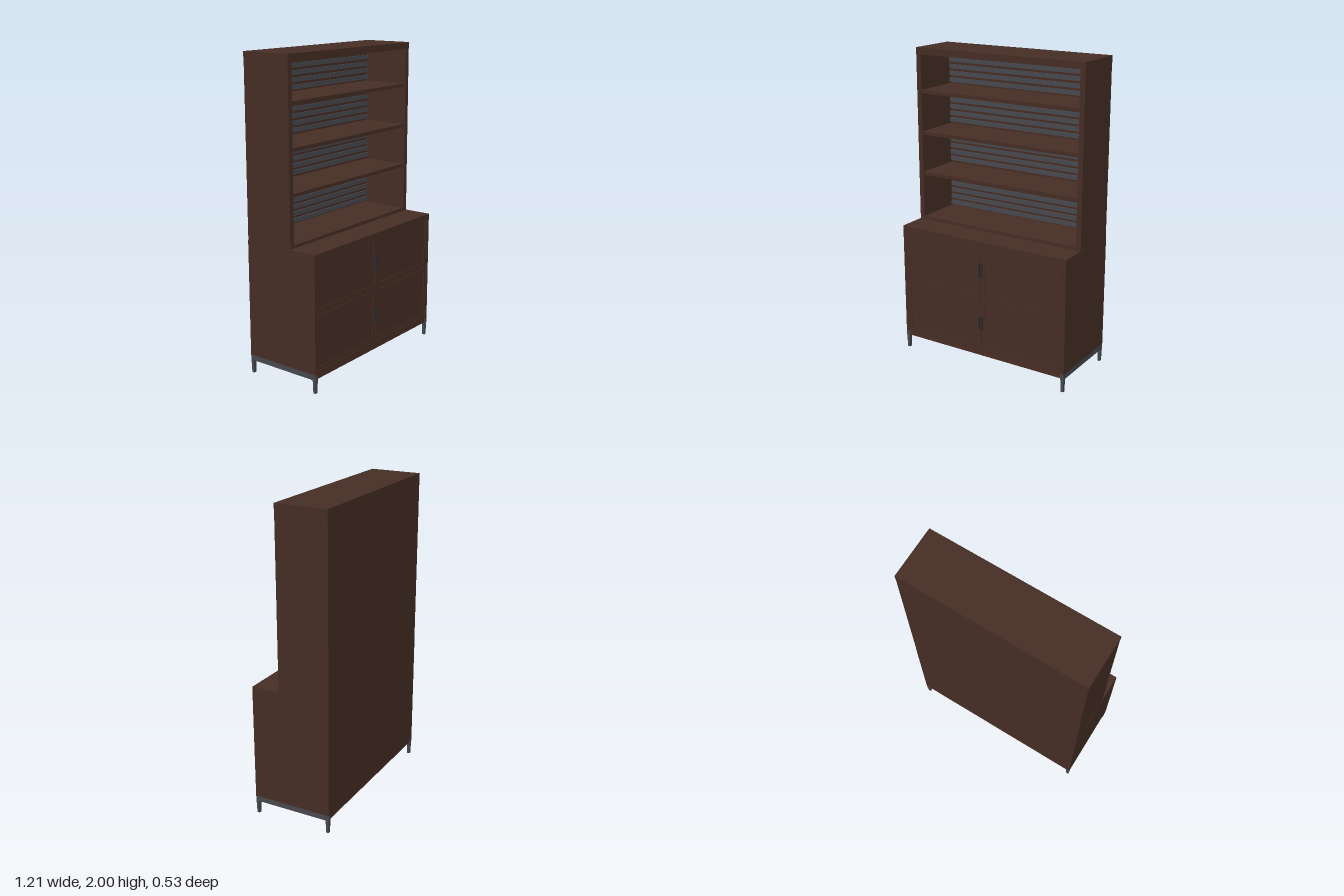
import * as THREE from 'three';

export function createModel() {
  const wood = new THREE.MeshStandardMaterial({ color: 0x452d24 });
  wood.name = 'dark walnut';
  const apronWood = new THREE.MeshStandardMaterial({ color: 0x4a2d24 });
  apronWood.name = 'reddish walnut';
  const steel = new THREE.MeshStandardMaterial({ color: 0x47484d });
  steel.name = 'grey steel';
  const dark = new THREE.MeshStandardMaterial({ color: 0x2b2b2e });
  dark.name = 'dark handle metal';

  const model = new THREE.Group();
  model.name = 'hutchCabinet';

  // Box given by its lower and upper limits on each axis
  function box(name, mat, x0, x1, y0, y1, z0, z1, parent = model) {
    const mesh = new THREE.Mesh(new THREE.BoxGeometry(x1 - x0, y1 - y0, z1 - z0), mat);
    mesh.position.set((x0 + x1) / 2, (y0 + y1) / 2, (z0 + z1) / 2);
    mesh.name = name;
    parent.add(mesh);
    return mesh;
  }

  const W = 0.605, B = -0.263, F = 0.26;

  // Lower cabinet: carcass open at the front, with a top board
  box('cabinetBack', wood, -0.585, 0.585, 0.12, 0.843, B, B + 0.02);
  box('cabinetFloor', wood, -0.585, 0.585, 0.12, 0.14, B + 0.02, F);
  box('cabinetDivider', wood, -0.585, 0.585, 0.485, 0.51, B + 0.02, F - 0.006);
  box('cabinetTop', wood, -W, W, 0.843, 0.865, B, F);
  box('apron', apronWood, -0.592, 0.592, 0.09, 0.12, B + 0.004, F - 0.004);

  // Framed doors with a slightly sunken panel
  function door(name, x0, x1, y0, y1) {
    const g = new THREE.Group();
    g.name = name;
    const s = new THREE.Shape();
    s.moveTo(x0, y0).lineTo(x1, y0).lineTo(x1, y1).lineTo(x0, y1).closePath();
    const h = new THREE.Path(), t = 0.023;
    h.moveTo(x0 + t, y0 + t).lineTo(x0 + t, y1 - t).lineTo(x1 - t, y1 - t).lineTo(x1 - t, y0 + t).closePath();
    s.holes.push(h);
    const frame = new THREE.Mesh(new THREE.ExtrudeGeometry(s, { depth: 0.02, bevelEnabled: false }), wood);
    frame.position.z = F - 0.022;
    frame.name = 'doorFrame';
    g.add(frame);
    box('doorPanel', wood, x0 + t, x1 - t, y0 + t, y1 - t, F - 0.02, F - 0.006, g);
    model.add(g);
  }

  const rows = [['lower', 0.142, 0.487, 0.27, 0.365], ['upper', 0.507, 0.842, 0.63, 0.725]];
  for (const side of [-1, 1]) {
    const label = side > 0 ? 'Left' : 'Right';
    const mirrorBox = (name, mat, a, b, ...rest) =>
      box(name + label, mat, Math.min(side * a, side * b), Math.max(side * a, side * b), ...rest);

    mirrorBox('cabinetSide', wood, 0.585, W, 0.12, 0.843, B, F);
    for (const [row, y0, y1, h0, h1] of rows) {
      door(row + 'Door' + label, side > 0 ? 0.0015 : -0.583, side > 0 ? 0.583 : -0.0015, y0, y1);
      mirrorBox(row + 'Handle', dark, 0.006, 0.014, h0, h1, F - 0.004, 0.268);
    }

    // Steel side rail and tapered legs
    mirrorBox('sideRail', steel, 0.592, 0.604, 0.085, 0.12, B, F);
    for (const z of [B + 0.012, F - 0.012]) {
      const geo = new THREE.BoxGeometry(0.024, 0.12, 0.024);
      const p = geo.attributes.position;
      for (let i = 0; i < p.count; i++) {
        if (p.getY(i) < 0) {
          p.setX(i, p.getX(i) * 0.72);
          p.setZ(i, p.getZ(i) * 0.72);
        }
      }
      geo.computeVertexNormals();
      const leg = new THREE.Mesh(geo, steel);
      leg.position.set(side * 0.593, 0.06, z);
      leg.name = (z > 0 ? 'front' : 'back') + 'Leg' + label;
      model.add(leg);
    }

    // Bookcase side
    mirrorBox('bookcaseSide', wood, 0.57, 0.603, 0.885, 1.957, B, 0.075);
  }

  // Bookcase boards and back
  box('bookcaseBase', wood, -0.603, 0.603, 0.865, 0.885, B, 0.075);
  box('bookcaseTop', wood, -W, W, 1.957, 2, B, 0.075);
  box('bookcaseBack', wood, -0.57, 0.57, 0.885, 1.957, B, B + 0.02);
  [1.18, 1.45, 1.72].forEach((y, i) =>
    box('shelf' + (i + 1), wood, -0.57, 0.57, y - 0.011, y + 0.011, B + 0.02, 0.068));

  // Horizontal slats along the back
  const count = 24, pitch = 1.072 / count;
  for (let i = 0; i < count; i++) {
    const y = 0.885 + (i + 0.5) * pitch;
    box('backSlat' + (i + 1), steel, -0.57, 0.57, y - 0.014, y + 0.014, B + 0.02, B + 0.03);
  }
  return model;
}
